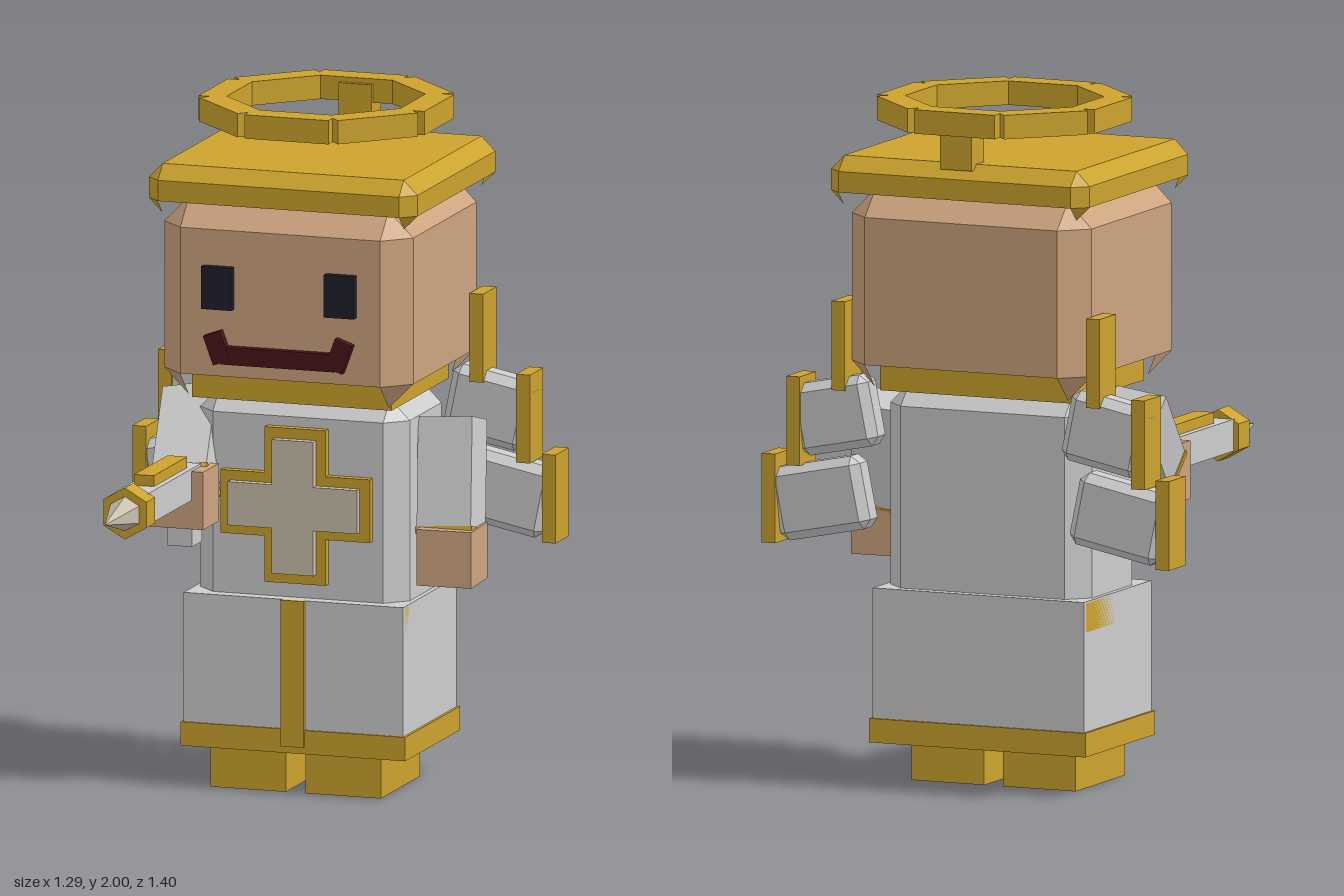
import * as THREE from 'three';

const mat = (name, color, extra = {}) => {
  const m = new THREE.MeshStandardMaterial({ color, ...extra });
  m.name = name;
  return m;
};

// Box with bevelled edges, centred on the origin; underside may stay open with only its corner facets
function bevelBox(w, h, d, b, closed = true) {
  const X = w / 2, Y = h / 2, Z = d / 2, pos = [];
  const quad = (p, q, r, s) => pos.push(...p, ...q, ...r, ...p, ...r, ...s);
  const corners = [[1, 1], [1, -1], [-1, -1], [-1, 1]];
  const ring = (y) => corners.flatMap(([sx, sz], i) => {
    const a = [sx * (X - b), y, sz * Z], c = [sx * X, y, sz * (Z - b)];
    return i % 2 ? [c, a] : [a, c];
  });
  const cap = (y) => corners.map(([sx, sz]) => [sx * (X - b), y, sz * (Z - b)]);
  const lo = ring(-Y + b), hi = ring(Y - b), top = cap(Y), bot = cap(-Y);
  for (let k = 0; k < 8; k++) quad(lo[k], lo[(k + 1) % 8], hi[(k + 1) % 8], hi[k]);
  for (let i = 0; i < 4; i++) {
    const j = (i + 1) % 4, s = 2 * i + 1, e = (2 * i + 2) % 8;
    pos.push(...hi[2 * i], ...hi[s], ...top[i]);
    pos.push(...lo[s], ...lo[2 * i], ...bot[i]);
    quad(hi[s], hi[e], top[j], top[i]);
    if (closed) quad(lo[e], lo[s], bot[i], bot[j]);
  }
  quad(...top);
  if (closed) quad(...[...bot].reverse());
  const g = new THREE.BufferGeometry();
  g.setAttribute('position', new THREE.Float32BufferAttribute(pos, 3));
  g.computeVertexNormals();
  return g;
}

export function createModel() {
  const root = new THREE.Group();
  root.name = 'blockKnight';
  const two = { side: THREE.DoubleSide };
  const gold = mat('gold', 0xcca32d, two);
  const grey = mat('light grey', 0xcccccc);
  const skin = mat('skin', 0xcda47f, two);
  const dark = mat('eye black', 0x1e1e2c);
  const maroon = mat('mouth maroon', 0x4a1419);
  const beige = mat('pale beige', 0xcac0ac);

  const add = (name, geo, m, x, y, z, parent = root) => {
    const o = new THREE.Mesh(geo, m);
    o.name = name;
    o.position.set(x, y, z);
    parent.add(o);
    return o;
  };
  // Box given by its lower and upper limits
  const span = (name, m, x0, x1, y0, y1, z0, z1) => add(name,
    new THREE.BoxGeometry(x1 - x0, y1 - y0, z1 - z0), m, (x0 + x1) / 2, (y0 + y1) / 2, (z0 + z1) / 2);

  // Feet and skirt
  span('rightFoot', gold, -0.26, -0.03, 0, 0.125, -0.43, -0.09);
  span('leftFoot', gold, 0.03, 0.26, 0, 0.125, -0.43, -0.09);
  span('skirt', grey, -0.335, 0.335, 0.13, 0.57, -0.535, -0.07);
  span('skirtHem', gold, -0.343, 0.343, 0.12, 0.19, -0.542, -0.065);
  span('skirtStripe', gold, -0.035, 0.035, 0.14, 0.57, -0.08, -0.058);
  span('belt', gold, -0.335, 0.335, 0.48, 0.565, -0.52, -0.09);

  // Torso, collar and chest cross
  add('torso', bevelBox(0.64, 0.71, 0.395, 0.06), grey, 0, 0.805, -0.308);
  span('collar', gold, -0.305, 0.305, 1.15, 1.24, -0.55, -0.055);
  const cross = (name, m, reach, half, z0, z1) => {
    const s = new THREE.Shape();
    const pts = [[half, half], [half, reach], [-half, reach], [-half, half], [-reach, half], [-reach, -half],
      [-half, -half], [-half, -reach], [half, -reach], [half, -half], [reach, -half], [reach, half]];
    s.setFromPoints(pts.map(([x, y]) => new THREE.Vector2(x, y)));
    add(name, new THREE.ExtrudeGeometry(s, { depth: z1 - z0, bevelEnabled: false }), m, 0, 0.843, z0);
  };
  cross('crossBorder', gold, 0.228, 0.093, -0.12, -0.085);
  cross('crossInlay', beige, 0.197, 0.064, -0.1, -0.06);

  // Head and face
  add('head', bevelBox(0.76, 0.58, 0.7, 0.075, false), skin, 0, 1.453, -0.305);
  for (const s of [-1, 1]) {
    add('eye', new THREE.BoxGeometry(0.092, 0.125, 0.035), dark, s * 0.187, 1.5, 0.053);
    add('mouthCorner', new THREE.BoxGeometry(0.055, 0.09, 0.035), maroon, s * 0.186, 1.325, 0.053).rotation.z = -s * 0.35;
  }
  span('mouth', maroon, -0.175, 0.175, 1.278, 1.33, 0.035, 0.07);

  // Hat, halo post and eight-piece halo
  add('hat', bevelBox(0.82, 0.145, 0.76, 0.042, false), gold, 0, 1.774, -0.32);
  span('haloPost', gold, -0.05, 0.05, 1.83, 1.985, -0.69, -0.605);
  const halo = new THREE.Group();
  halo.name = 'halo';
  halo.position.set(0, 1.965, -0.355);
  root.add(halo);
  for (let i = 0; i < 8; i++) {
    const a = i * Math.PI / 4;
    add('haloSegment', new THREE.BoxGeometry(0.256, 0.07, 0.08), gold,
      Math.sin(a) * 0.305, 0, Math.cos(a) * 0.305, halo).rotation.y = a;
  }

  // Arms run from shoulder to wrist, each with a gold cuff
  const arm = (name, a, b) => {
    const from = new THREE.Vector3(...a), to = new THREE.Vector3(...b);
    const dir = to.clone().sub(from), len = dir.length();
    const g = new THREE.Group();
    g.name = name;
    g.position.copy(from).add(to).multiplyScalar(0.5);
    g.quaternion.setFromUnitVectors(new THREE.Vector3(0, -1, 0), dir.normalize());
    root.add(g);
    add('sleeve', new THREE.BoxGeometry(0.165, len, 0.13), grey, 0, 0, 0, g);
    add('cuff', new THREE.BoxGeometry(0.172, 0.02, 0.137), gold, 0, -len / 2, 0, g);
  };
  arm('leftArm', [0.4, 1.085, -0.315], [0.425, 0.77, -0.23]);
  add('leftHand', new THREE.BoxGeometry(0.165, 0.165, 0.165), skin, 0.433, 0.708, -0.215).rotation.y = 0.05;
  arm('rightArm', [-0.37, 1.1, -0.28], [-0.32, 0.9, -0.04]);
  span('rightHand', skin, -0.388, -0.222, 0.79, 0.96, -0.055, 0.083);

  // Spear held forward in the right hand
  span('weaponGrip', grey, -0.345, -0.27, 0.73, 0.9, -0.045, 0.045);
  span('weaponShaft', grey, -0.355, -0.257, 0.875, 0.968, 0, 0.46);
  span('weaponRail', gold, -0.335, -0.275, 0.96, 1.0, 0.07, 0.36);
  const hexMat = gold;
  const collar = add('weaponCollar', new THREE.CylinderGeometry(0.076, 0.076, 0.075, 6).toNonIndexed(), hexMat, -0.306, 0.918, 0.487);
  const tip = add('weaponTip', new THREE.ConeGeometry(0.052, 0.18, 6).toNonIndexed(), beige, -0.306, 0.918, 0.61);
  for (const o of [collar, tip]) {
    o.geometry.computeVertexNormals();
    o.rotation.x = Math.PI / 2;
  }

  // Wings: stepped gold plates with tilted feather blocks
  for (const s of [-1, 1]) {
    const wing = new THREE.Group();
    wing.name = s < 0 ? 'rightWing' : 'leftWing';
    root.add(wing);
    for (const [x, y] of [[0.404, 1.283], [0.547, 1.055], [0.625, 0.825]]) {
      add('wingPlate', new THREE.BoxGeometry(0.042, 0.26, 0.115), gold, s * x, y, -0.567, wing);
    }
    for (const [x, y, w, h] of [[0.43, 1.075, 0.25, 0.21], [0.475, 0.83, 0.29, 0.215]]) {
      add('wingFeather', bevelBox(w, h, 0.1, 0.025), grey, s * x, y, -0.567, wing).rotation.z = -s * 0.2;
    }
  }
  return root;
}
